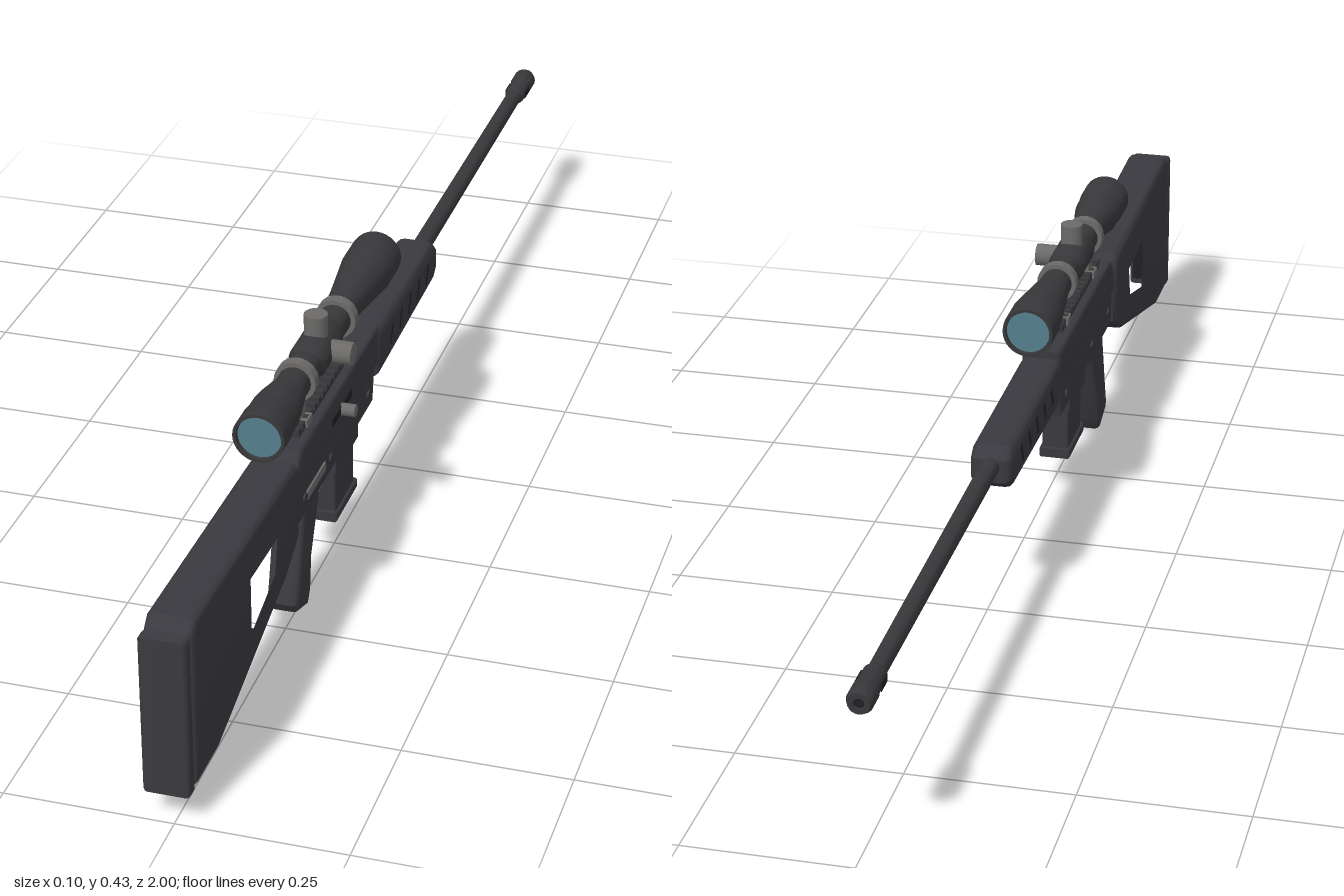
import * as THREE from 'three';
import { toCreasedNormals } from 'three/addons/utils/BufferGeometryUtils.js';

const material = (name, color) => {
  const m = new THREE.MeshStandardMaterial({ color });
  m.name = name;
  return m;
};

export function createModel() {
  const polymer = material('dark polymer', 0x3a393f);
  const steel = material('dark steel', 0x38383b);
  const black = material('black recess', 0x202023);
  const grey = material('grey metal', 0x6b6a69);
  const glass = material('blue glass', 0x547f8d);

  const model = new THREE.Group();
  model.name = 'rifle';
  model.position.x = -0.01;

  const add = (name, geometry, mat, x = 0, y = 0, z = 0) => {
    const mesh = new THREE.Mesh(geometry, mat);
    mesh.name = name;
    mesh.position.set(x, y, z);
    model.add(mesh);
    return mesh;
  };
  const box = (name, mat, w, h, d, x, y, z) => add(name, new THREE.BoxGeometry(w, h, d), mat, x, y, z);

  // Side outline given as [z, y], extruded across x with softened edges
  const slab = (name, mat, points, width, bevel, hole) => {
    const toVec = ([z, y]) => new THREE.Vector2(-z, y);
    const shape = new THREE.Shape(points.map(toVec));
    if (hole) shape.holes.push(new THREE.Path(hole.map(toVec)));
    const g = new THREE.ExtrudeGeometry(shape, {
      depth: width - 2 * bevel, bevelEnabled: bevel > 0, bevelSize: bevel,
      bevelThickness: bevel, bevelOffset: -bevel, bevelSegments: 3, curveSegments: 6,
    });
    g.translate(0, 0, -(width - 2 * bevel) / 2).rotateY(Math.PI / 2);
    return add(name, toCreasedNormals(g, 0.6), mat);
  };
  const rect = (z0, z1, y0, y1) => [[z0, y0], [z0, y1], [z1, y1], [z1, y0]];

  // Profile given as [radius, z], turned around the z axis
  const turned = (name, mat, profile, y, segments = 32) => {
    const g = new THREE.LatheGeometry(profile.map(([r, z]) => new THREE.Vector2(r, z)), segments);
    return add(name, toCreasedNormals(g.rotateX(Math.PI / 2), 0.5), mat, 0, y);
  };

  // Short rod along x or y
  const rod = (name, mat, r, length, axis, x, y, z) => {
    const g = new THREE.CylinderGeometry(r, r, length, 20);
    if (axis === 'x') g.rotateZ(Math.PI / 2);
    return add(name, g, mat, x, y, z);
  };

  // Stock with thumb opening and butt pad
  slab('stock', polymer, [
    [0.974, 0.05], [0.974, 0.295], [0.957, 0.312], [0.51, 0.297],
    [0.5, 0.285], [0.5, 0.175], [0.515, 0.162], [0.57, 0.134], [0.88, 0.05],
  ], 0.072, 0.011, [[0.743, 0.248], [0.598, 0.24], [0.613, 0.168], [0.727, 0.137], [0.743, 0.15]]);
  slab('buttPad', polymer, rect(1, 0.978, 0.048, 0.298), 0.07, 0.007);
  box('buttSpacer', black, 0.054, 0.22, 0.02, 0, 0.173, 0.975);

  // Receiver
  slab('upperReceiver', polymer, [
    [0.502, 0.232], [0.502, 0.268], [0.478, 0.3], [0.075, 0.3], [0.075, 0.232],
  ], 0.064, 0.008);
  slab('lowerReceiver', polymer, [
    [0.49, 0.178], [0.5, 0.235], [0.09, 0.235], [0.1, 0.178],
  ], 0.058, 0.004);
  slab('magazineWell', polymer, rect(0.292, 0.172, 0.152, 0.182), 0.054, 0.004);
  box('boltSlot', black, 0.004, 0.013, 0.1, 0.032, 0.264, 0.28);
  rod('boltHandle', grey, 0.01, 0.03, 'x', 0.04, 0.262, 0.28);
  box('selectorPlate', grey, 0.004, 0.014, 0.09, 0.03, 0.208, 0.405);
  for (const side of [-1, 1]) {
    for (const [z, y] of [[0.46, 0.21], [0.33, 0.205], [0.13, 0.205]]) {
      rod('receiverPin', steel, 0.007, 0.005, 'x', side * 0.03, y, z);
    }
  }

  // Toothed sight rail
  box('rail', steel, 0.034, 0.01, 0.29, 0, 0.301, 0.3);
  for (let i = 0; i < 15; i++) {
    box('railTooth', steel, 0.034, 0.008, 0.01, 0, 0.309, 0.44 - i * 0.02);
  }

  // Handguard with slanted vents
  slab('handguard', polymer, [
    [0.08, 0.208], [0.08, 0.288], [-0.25, 0.286], [-0.27, 0.27], [-0.27, 0.232], [-0.25, 0.217],
  ], 0.066, 0.014);
  for (const side of [-1, 1]) {
    for (let i = 0; i < 5; i++) {
      const vent = box('handguardVent', black, 0.003, 0.034, 0.008, side * 0.0325, 0.252, 0.01 - i * 0.052);
      vent.rotation.x = -0.4;
    }
  }

  // Barrel and muzzle brake
  turned('barrel', steel, [[0.012, -0.98], [0.0135, -0.9], [0.015, -0.25]], 0.258, 20);
  turned('muzzleBrake', steel, [
    [0.008, -0.985], [0.008, -1], [0.016, -1], [0.0195, -0.992], [0.0195, -0.965],
    [0.0175, -0.955], [0.0175, -0.92], [0.013, -0.91],
  ], 0.258, 20);
  for (const side of [-1, 1]) {
    box('muzzlePort', black, 0.004, 0.012, 0.03, side * 0.0165, 0.258, -0.937);
  }
  add('muzzleBore', new THREE.CircleGeometry(0.009, 20).rotateY(Math.PI), black, 0, 0.258, -0.996);

  // Pistol grip
  slab('grip', polymer, [
    [0.445, 0.185], [0.365, 0.185], [0.368, 0.16], [0.408, 0.08], [0.415, 0.025],
    [0.43, 0.002], [0.478, 0.018], [0.487, 0.034], [0.476, 0.07],
  ], 0.05, 0.01);

  // Trigger and its guard
  const guardPath = new THREE.CatmullRomCurve3([
    [0.18, 0.345], [0.145, 0.343], [0.131, 0.328], [0.13, 0.3], [0.133, 0.28],
  ].map(([y, z]) => new THREE.Vector3(0, y, z)));
  add('triggerGuard', new THREE.TubeGeometry(guardPath, 20, 0.005, 8), grey);
  const trigger = box('trigger', grey, 0.01, 0.034, 0.008, 0, 0.166, 0.318);
  trigger.rotation.x = 0.25;

  // Magazine
  slab('magazine', polymer, rect(0.281, 0.183, 0.07, 0.17), 0.044, 0.004);
  slab('magazineBase', polymer, rect(0.288, 0.176, 0.064, 0.08), 0.052, 0.004);

  // Telescopic sight
  const sightY = 0.372;
  turned('sightTube', steel, [
    [0.033, 0], [0.035, -0.02], [0.04, -0.02], [0.041, -0.012], [0.041, 0.04], [0.038, 0.065],
    [0.026, 0.165], [0.025, 0.18], [0.025, 0.43], [0.035, 0.485], [0.037, 0.5],
    [0.037, 0.535], [0.039, 0.54], [0.039, 0.58], [0.034, 0.58], [0.032, 0.565],
  ], sightY);
  add('eyepieceLens', new THREE.CircleGeometry(0.033, 32), glass, 0, sightY, 0.574);
  add('objectiveLens', new THREE.CircleGeometry(0.035, 32).rotateY(Math.PI), glass, 0, sightY, -0.014);
  turned('turretCollar', steel, [[0.025, 0.25], [0.03, 0.262], [0.03, 0.342], [0.025, 0.354]], sightY);

  // Adjustment turrets
  rod('topTurret', grey, 0.018, 0.04, 'y', 0, 0.411, 0.302);
  rod('sideTurret', grey, 0.018, 0.038, 'x', 0.039, sightY, 0.302);

  // Mounting rings and posts
  for (const z of [0.4, 0.197]) {
    turned('mountRing', grey, [
      [0.025, z - 0.009], [0.032, z - 0.009], [0.032, z + 0.009], [0.025, z + 0.009],
    ], sightY);
    box('mountPost', grey, 0.02, 0.042, 0.02, 0, 0.325, z);
    box('mountClamp', grey, 0.04, 0.012, 0.026, 0, 0.306, z);
  }

  return model;
}
